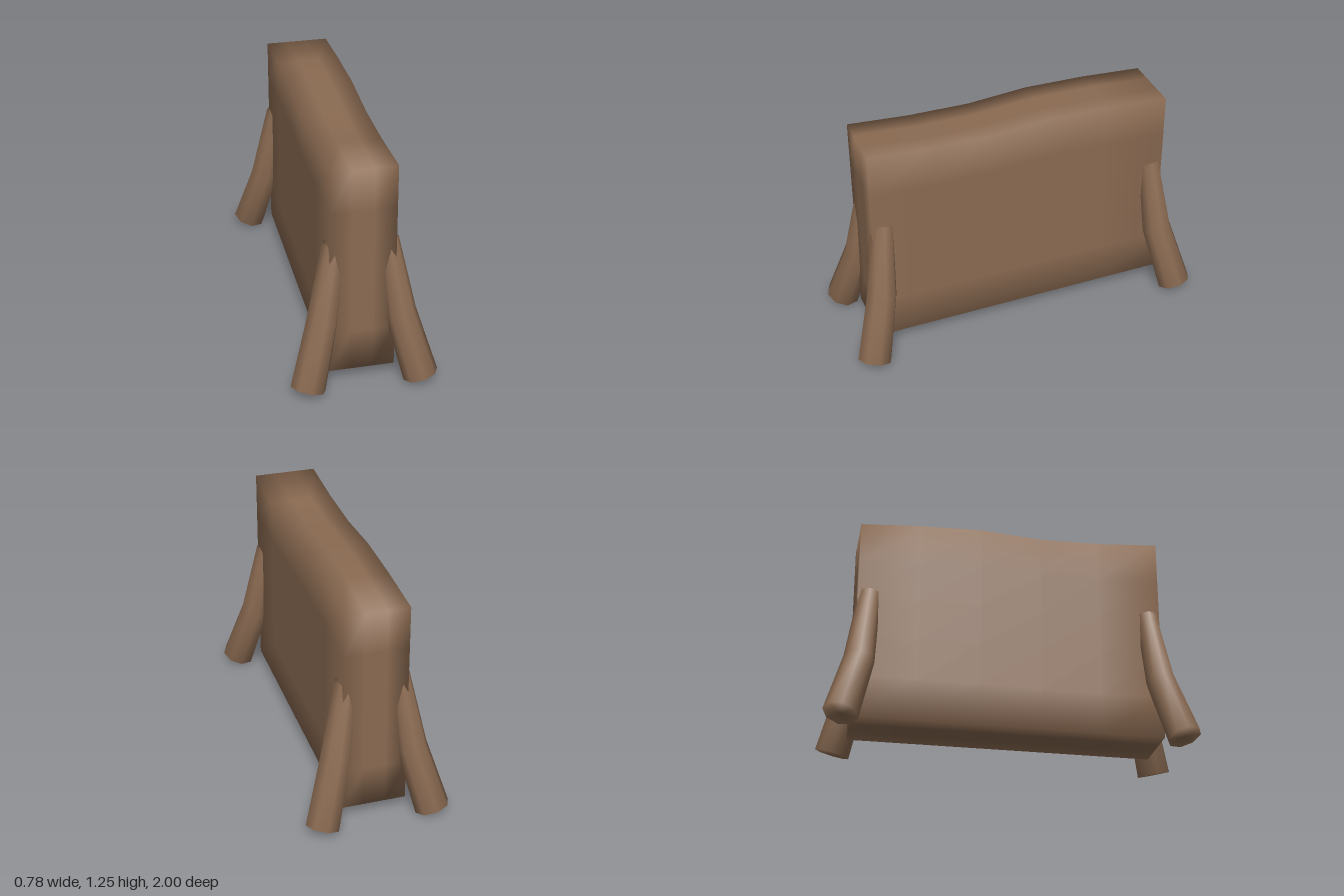
import * as THREE from 'three';
import { mergeVertices } from 'three/addons/utils/BufferGeometryUtils.js';

// Weld the seams so that normals run smoothly over every edge
function smooth(geometry) {
  geometry.deleteAttribute('uv');
  geometry.deleteAttribute('normal');
  const welded = mergeVertices(geometry, 1e-4);
  welded.computeVertexNormals();
  return welded;
}

// Slab body whose top follows a gentle wave from back to front
function bodyGeometry() {
  const bottom = 0.075, halfLength = 0.84;
  const topLine = [1.215, 1.237, 1.245, 1.22, 1.226, 1.25];
  const geometry = new THREE.BoxGeometry(0.346, 1, halfLength * 2, 3, 5, 5);
  const p = geometry.attributes.position;
  for (let i = 0; i < p.count; i++) {
    const k = Math.round((p.getZ(i) / halfLength + 1) * 2.5);
    p.setY(i, bottom + (p.getY(i) + 0.5) * (topLine[k] - bottom));
  }
  return smooth(geometry);
}

// Bent leg that widens toward the foot; rings stand square to the path
const LEG = [
  { at: [0.3, 0.034, 0.908], r: 0.094 },
  { at: [0.207, 0.385, 0.82], r: 0.083 },
  { at: [0.14, 0.803, 0.775], r: 0.06 },
];

function legGeometry(sx, sz) {
  const points = LEG.map(({ at: [x, y, z] }) => new THREE.Vector3(x * sx, y, z * sz));
  const up = new THREE.Vector3(0, 1, 0);
  const turns = points.map((_, k) => {
    const direction = points[Math.min(k + 1, 2)].clone().sub(points[Math.max(k - 1, 0)]);
    return new THREE.Quaternion().setFromUnitVectors(up, direction.normalize());
  });
  const geometry = new THREE.CylinderGeometry(1, 1, 2, 8, 2);
  const p = geometry.attributes.position;
  const v = new THREE.Vector3();
  for (let i = 0; i < p.count; i++) {
    const k = Math.round(p.getY(i) + 1);
    v.set(p.getX(i), 0, p.getZ(i)).multiplyScalar(LEG[k].r);
    v.applyQuaternion(turns[k]).add(points[k]);
    p.setXYZ(i, v.x, v.y, v.z);
  }
  return smooth(geometry);
}

export function createModel() {
  const group = new THREE.Group();
  const brown = new THREE.MeshStandardMaterial({ color: 0x8b6b52 });
  brown.name = 'brown';

  const add = (name, geometry) => {
    const mesh = new THREE.Mesh(geometry, brown);
    mesh.name = name;
    group.add(mesh);
  };

  add('body', bodyGeometry());
  for (const [end, sz] of [['front', 1], ['back', -1]]) {
    for (const [side, sx] of [['Left', 1], ['Right', -1]]) {
      add(`${end}${side}Leg`, legGeometry(sx, sz));
    }
  }
  return group;
}
